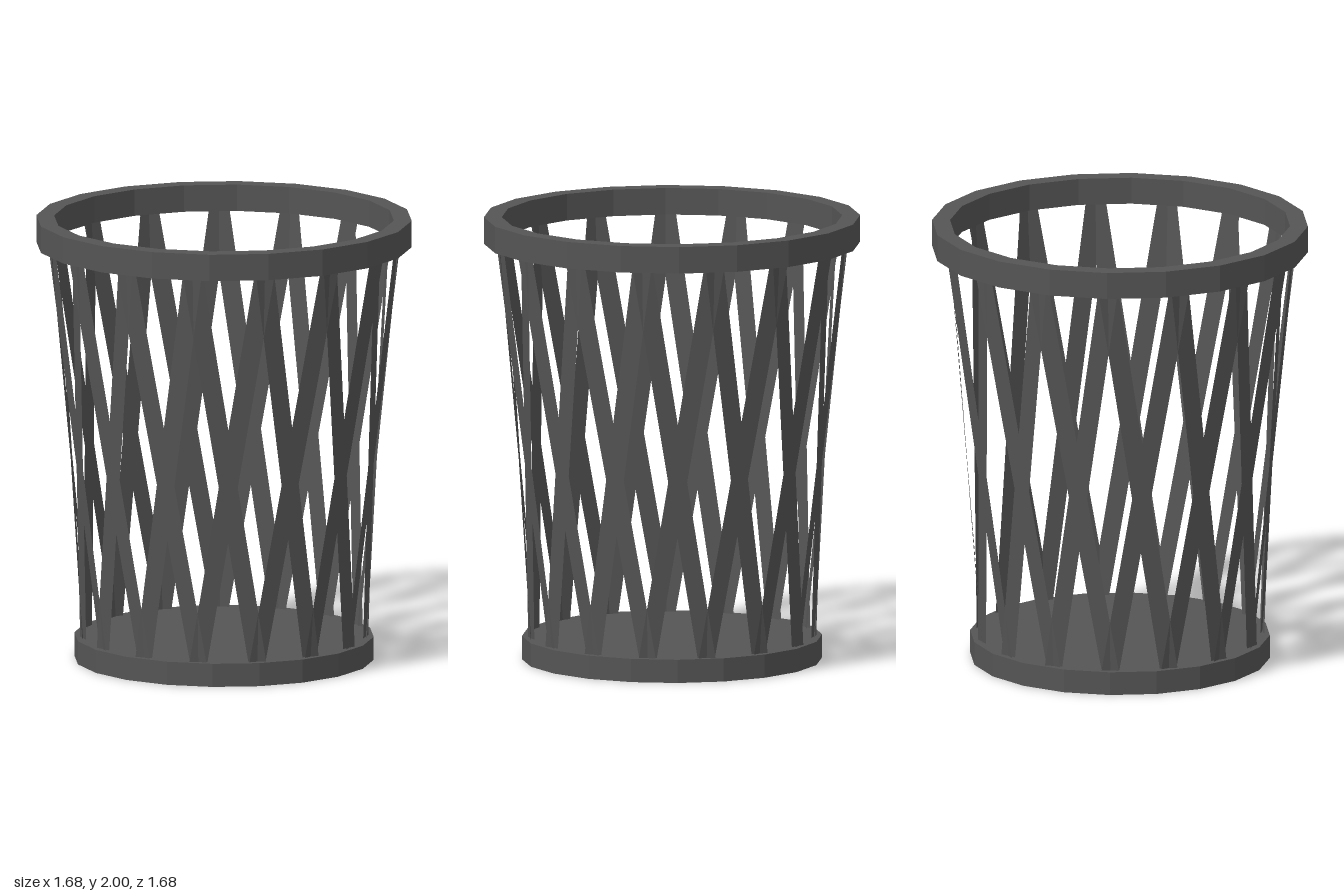
import * as THREE from 'three';

const SIDES = 20;   // facets of the rim and base
const NODES = 15;   // points where pairs of slats meet
const TOP = { y: 1.9, r: 0.777, w: 0.09 };
const BOTTOM = { y: 0.1, r: 0.634, w: 0.08 };

// Flat strip from one node on the top ring to a neighbouring node on the base
function slatGeometry(topAngle, bottomAngle) {
  const mid = (topAngle + bottomAngle) / 2;
  const tangent = new THREE.Vector3(-Math.sin(mid), 0, Math.cos(mid));
  const corners = [];
  for (const [end, a] of [[BOTTOM, bottomAngle], [TOP, topAngle]]) {
    for (const side of [1, -1]) {
      const p = new THREE.Vector3(end.r * Math.cos(a), end.y, end.r * Math.sin(a));
      corners.push(...p.addScaledVector(tangent, side * end.w / 2).toArray());
    }
  }
  const geometry = new THREE.BufferGeometry();
  geometry.setAttribute('position', new THREE.Float32BufferAttribute(corners, 3));
  geometry.setIndex([0, 1, 3, 0, 3, 2]);
  geometry.computeVertexNormals();
  return geometry;
}

export function createModel() {
  const model = new THREE.Group();
  model.name = 'wasteBasket';
  const grey = new THREE.MeshStandardMaterial({ color: 0x555555, flatShading: true, side: THREE.DoubleSide });
  grey.name = 'dark grey';

  // Solid base disc
  const base = new THREE.Mesh(new THREE.CylinderGeometry(0.67, 0.67, 0.105, SIDES), grey);
  base.name = 'base';
  base.position.y = 0.0525;
  model.add(base);

  // Square-section top rim
  const profile = [[0.76, 1.88], [0.84, 1.88], [0.84, 2], [0.76, 2], [0.76, 1.88]]
    .map(([r, y]) => new THREE.Vector2(r, y));
  const rim = new THREE.Mesh(new THREE.LatheGeometry(profile, SIDES), grey);
  rim.name = 'rim';
  model.add(rim);

  // Crossing slats: two from every node, leaning opposite ways
  const lattice = new THREE.Group();
  lattice.name = 'lattice';
  const step = (Math.PI * 2) / NODES;
  for (let i = 0; i < NODES; i++) {
    const a = Math.PI / 2 + i * step;
    for (const lean of [-1, 1]) {
      const slat = new THREE.Mesh(slatGeometry(a, a + lean * step), grey);
      slat.name = lean < 0 ? 'leftLeaningSlat' : 'rightLeaningSlat';
      lattice.add(slat);
    }
  }
  model.add(lattice);
  return model;
}
